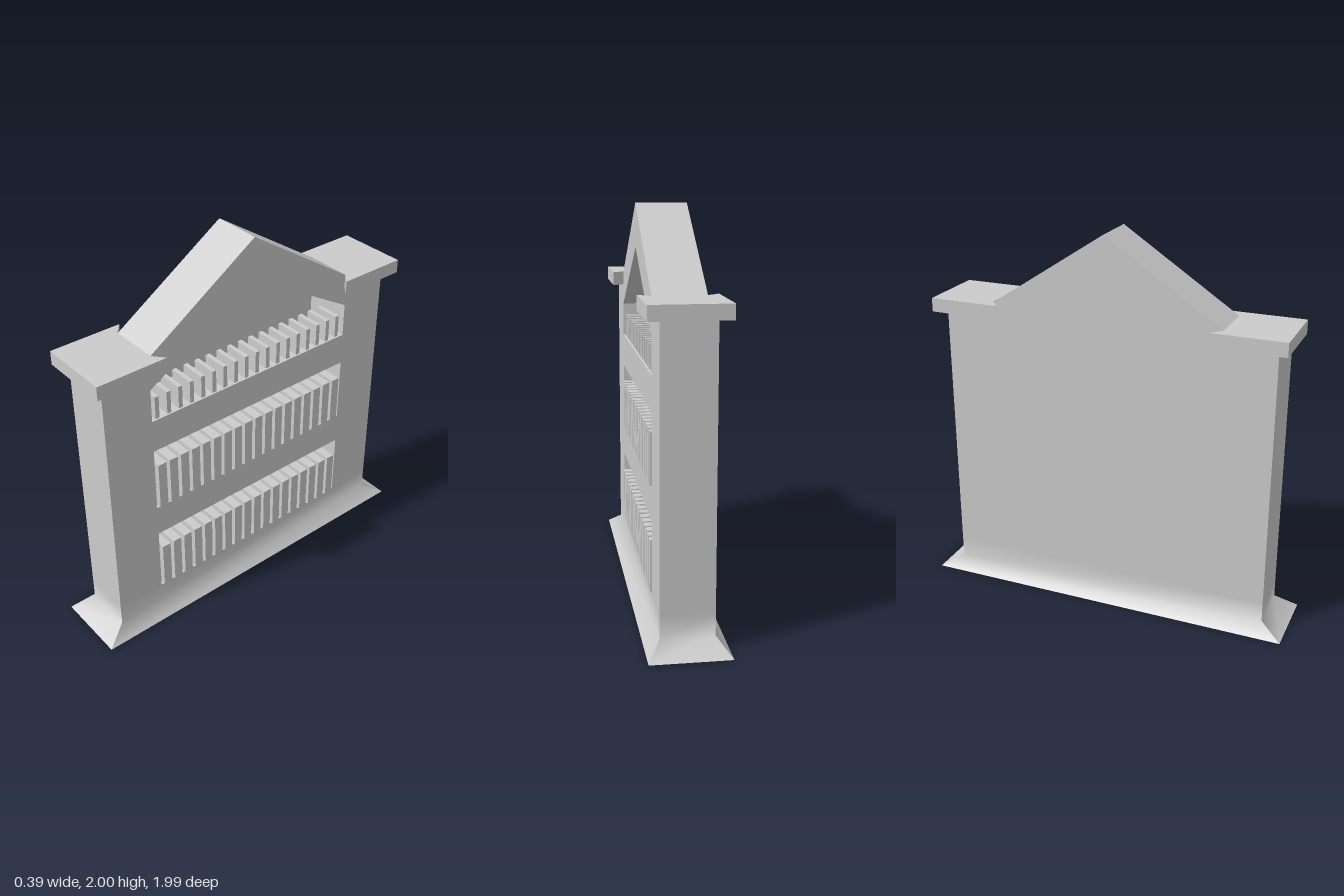
import * as THREE from 'three';

const mat = new THREE.MeshStandardMaterial({ color: 0xcccccc });
const HX = 0.13, HZ = 0.88, BAY = 0.62, BACK = -0.12;

function add(parent, name, geometry, x = 0, y = 0, z = 0) {
  const mesh = new THREE.Mesh(geometry, mat);
  mesh.name = name;
  mesh.position.set(x, y, z);
  parent.add(mesh);
  return mesh;
}

const points = (list) => list.map(([a, b]) => new THREE.Vector2(a, b));

// Upright slab: outline drawn in (z, y), thickness running from x0 to x1
function slab(outline, holes, x0, x1) {
  const shape = new THREE.Shape(points(outline));
  shape.holes = holes.map((h) => new THREE.Path(points(h)));
  const g = new THREE.ExtrudeGeometry(shape, { depth: x1 - x0, bevelEnabled: false });
  return g.rotateY(Math.PI / 2).translate(x0, 0, 0);
}

// Flared foot: each side is a strip, smooth up its height and sharp at corners
function footGeometry() {
  const levels = [[0, 0.195, 0.995], [0.07, HX, HZ], [0.18, HX, HZ]];
  const corners = [[1, 1], [1, -1], [-1, -1], [-1, 1]];
  const pos = [], index = [];
  corners.forEach((c, i) => {
    const next = corners[(i + 1) % 4], base = pos.length / 3;
    for (const [y, hx, hz] of levels) {
      pos.push(c[0] * hx, y, c[1] * hz, next[0] * hx, y, next[1] * hz);
    }
    for (let k = 0; k < levels.length - 1; k++) {
      const a = base + k * 2;
      index.push(a, a + 1, a + 3, a, a + 3, a + 2);
    }
  });
  const g = new THREE.BufferGeometry();
  g.setAttribute('position', new THREE.Float32BufferAttribute(pos, 3));
  g.setIndex(index);
  g.computeVertexNormals();
  return g;
}

// Row of 18 upright books standing on a shelf
function bookRow(parent, name, y, height, width, span, x0, x1) {
  const row = new THREE.Group();
  row.name = name;
  const g = new THREE.BoxGeometry(x1 - x0, height, width);
  for (let i = 0; i < 18; i++) {
    add(row, 'book', g, (x0 + x1) / 2, y + height / 2, span * (1 - (2 * i) / 17));
  }
  parent.add(row);
}

export function createModel() {
  const model = new THREE.Group();
  model.name = 'bookcase';

  // Foot, closed below and above; its top is the floor of the lowest bay
  add(model, 'foot', footGeometry());
  add(model, 'footUnderside', new THREE.PlaneGeometry(0.39, 1.99).rotateX(Math.PI / 2));
  add(model, 'lowestShelf', new THREE.PlaneGeometry(HX * 2, HZ * 2).rotateX(-Math.PI / 2), 0, 0.18, 0);

  // Gabled carcass: the lowest bay is a notch, the two above are holes
  const gable = [[HZ, 0.18], [HZ, 1.57], [0.61, 1.57], [0.61, 1.6], [0, 2],
    [-0.61, 1.6], [-0.61, 1.57], [-HZ, 1.57], [-HZ, 0.18]];
  const notch = [[-BAY, 0.18], [-BAY, 0.54], [BAY, 0.54], [BAY, 0.18]];
  const middleBay = [[-BAY, 0.71], [BAY, 0.71], [BAY, 1.065], [-BAY, 1.065]];
  const topBay = [[-BAY, 1.24], [BAY, 1.24], [BAY, 1.42], [0, 1.78], [-BAY, 1.42]];
  add(model, 'carcass', slab([...gable, ...notch], [middleBay, topBay], BACK, HX));
  add(model, 'backPanel', slab(gable, [], -HX, BACK));

  // Pillar caps, cut at an angle where they meet the gable
  const capOutline = [[-0.19, 0.935], [-0.19, 0.56], [-HX, 0.61], [HX, 0.61], [0.19, 0.56], [0.19, 0.935]];
  for (const side of [1, -1]) {
    const shape = new THREE.Shape(points(capOutline.map(([x, z]) => [x, z * side])));
    const g = new THREE.ExtrudeGeometry(shape, { depth: 0.072, bevelEnabled: false });
    add(model, side > 0 ? 'frontCap' : 'rearCap', g.rotateX(Math.PI / 2), 0, 1.603, 0);
  }

  // Books
  bookRow(model, 'lowerBooks', 0.18, 0.263, 0.048, 0.58, -0.02, 0.138);
  bookRow(model, 'middleBooks', 0.71, 0.265, 0.048, 0.58, -0.02, 0.138);
  bookRow(model, 'topBooks', 1.24, 0.122, 0.023, 0.581, -0.02, 0.12);
  return model;
}
